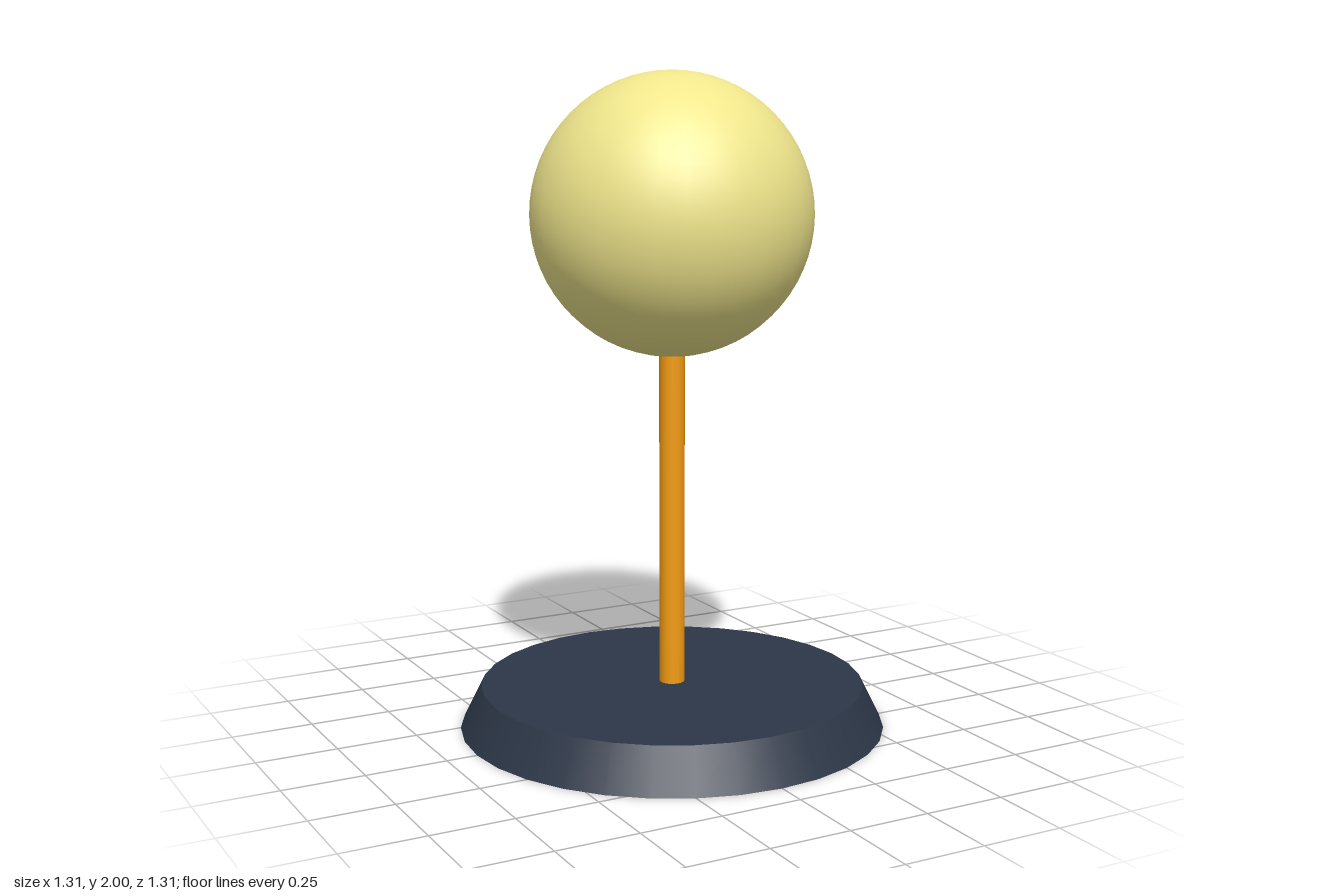
import * as THREE from 'three';

function addPart(group, name, geometry, color, y) {
  const mesh = new THREE.Mesh(geometry, new THREE.MeshStandardMaterial({ color }));
  mesh.name = name;
  mesh.position.y = y;
  group.add(mesh);
}

export function createModel() {
  const group = new THREE.Group();
  group.name = 'ballOnStand';

  const baseHeight = 0.131;
  const ballRadius = 0.425;
  const ballY = 2 - ballRadius;
  const poleBottom = baseHeight - 0.02;
  const poleTop = ballY - ballRadius + 0.02;

  // Tapered round base
  addPart(group, 'base', new THREE.CylinderGeometry(0.59, 0.655, baseHeight, 32), 0x2d3748, baseHeight / 2);

  // Thin pole, its ends sunk slightly into base and ball
  addPart(group, 'pole', new THREE.CylinderGeometry(0.039, 0.039, poleTop - poleBottom, 16), 0xf39c12, (poleTop + poleBottom) / 2);

  // Ball on top
  addPart(group, 'ball', new THREE.SphereGeometry(ballRadius, 32, 32), 0xf0e68c, ballY);

  return group;
}
